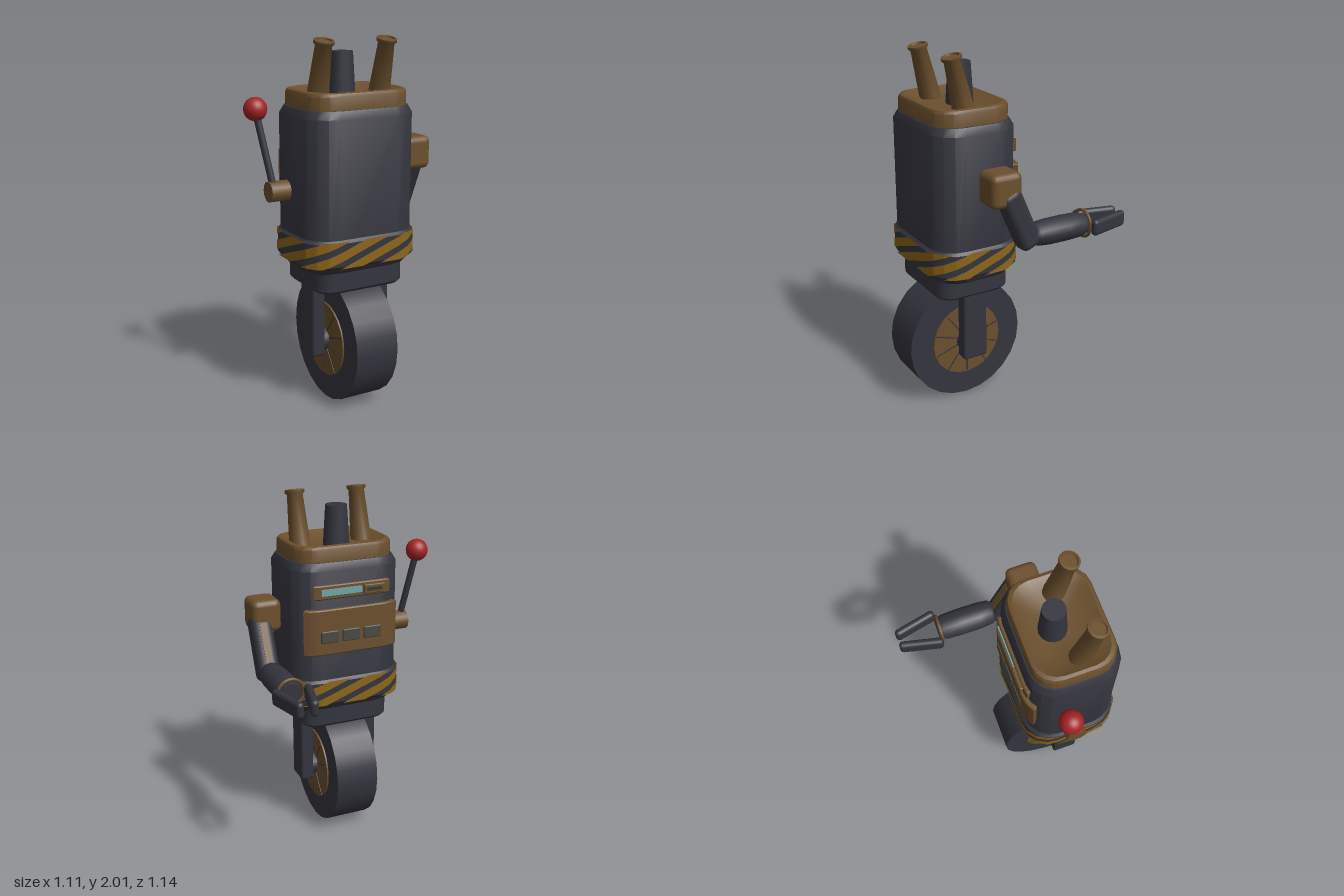
import * as THREE from 'three';
import { toCreasedNormals } from 'three/addons/utils/BufferGeometryUtils.js';
import { RoundedBoxGeometry } from 'three/addons/geometries/RoundedBoxGeometry.js';

const mat = (name, color, extra = {}) => {
  const m = new THREE.MeshStandardMaterial({ color, ...extra });
  m.name = name;
  return m;
};
const CX = -0.028, CZ = 0.22; // centre line of the body

// Rounded-rectangle ring in plan, four corners of five points
function ring(hw, hd, r) {
  const pts = [];
  [[1, 1], [-1, 1], [-1, -1], [1, -1]].forEach(([sx, sz], q) => {
    for (let k = 0; k <= 4; k++) {
      const a = (q + k / 4) * Math.PI / 2;
      pts.push(new THREE.Vector2(CX + sx * (hw - r) + r * Math.cos(a), CZ + sz * (hd - r) + r * Math.sin(a)));
    }
  });
  return pts;
}

// Skin over rings [y, halfWidth, halfDepth, cornerRadius], closed at both ends
function loft(sections, crease = 0.6) {
  const pos = [], idx = [], n = 20;
  sections.forEach(([y, hw, hd, r]) => ring(hw, hd, r).forEach(p => pos.push(p.x, y, p.y)));
  const last = (sections.length - 1) * n, c0 = sections.length * n, c1 = c0 + 1;
  pos.push(CX, sections[0][0], CZ, CX, sections[sections.length - 1][0], CZ);
  for (let j = 0; j < n; j++) {
    const k = (j + 1) % n;
    for (let i = 0; i < last; i += n) idx.push(i + j, i + n + j, i + k, i + k, i + n + j, i + n + k);
    idx.push(c0, j, k, c1, last + k, last + j);
  }
  const g = new THREE.BufferGeometry();
  g.setAttribute('position', new THREE.Float32BufferAttribute(pos, 3));
  g.setIndex(idx);
  return toCreasedNormals(g, crease);
}

// Slanted hazard stripes wrapped around the belt, clipped to its height
function stripes(y0, y1) {
  const outline = ring(0.347, 0.272, 0.17);
  outline.push(outline[0].clone());
  const shape = new THREE.Shape(outline);
  const N = 160, pts = shape.getSpacedPoints(N), len = shape.getLength();
  const count = 9, pitch = len / count, slope = 0.36, band = pitch * slope * 0.58;
  const pos = [];
  for (let s = 0; s < count + 3; s++) {
    for (let i = 0; i < N; i++) {
      const col = t => {
        const base = y0 + slope * (s * pitch - t * len / N);
        return [Math.min(y1, Math.max(y0, base)), Math.min(y1, Math.max(y0, base + band))];
      };
      const [a0, a1] = col(i), [b0, b1] = col(i + 1), p = pts[i], q = pts[i + 1];
      if (a1 - a0 + b1 - b0 < 1e-5) continue;
      pos.push(p.x, a0, p.y, p.x, a1, p.y, q.x, b0, q.y, q.x, b0, q.y, p.x, a1, p.y, q.x, b1, q.y);
    }
  }
  const g = new THREE.BufferGeometry();
  g.setAttribute('position', new THREE.Float32BufferAttribute(pos, 3));
  g.computeVertexNormals();
  return g;
}

// Plate that follows the rear face and wraps the corners by an angle
function wrapPlate(y0, y1, angle, out) {
  const arc = r => {
    const p = [];
    for (let k = 0; k <= 4; k++) {
      const a = angle * (1 - k / 4);
      p.push(new THREE.Vector2(-0.205 - r * Math.sin(a), r * Math.cos(a) - 0.12));
    }
    return p.concat(p.slice().reverse().map(v => new THREE.Vector2(2 * CX - v.x, v.y)));
  };
  const b = 0.006;
  const shape = new THREE.Shape(arc(0.15 + out - b).concat(arc(0.13).reverse()));
  const g = new THREE.ExtrudeGeometry(shape, { depth: y1 - y0 - 2 * b, bevelSize: b, bevelThickness: b, bevelSegments: 1 });
  return g.rotateX(-Math.PI / 2).translate(0, y0 + b, 0);
}

const lathe = (pts, sides) =>
  toCreasedNormals(new THREE.LatheGeometry(pts.map(p => new THREE.Vector2(...p)), sides), 0.9);

export function createModel() {
  const model = new THREE.Group();
  const dark = mat('charcoal metal', 0x34343e);
  const brown = mat('bronze', 0x6b4f2d);
  const yellow = mat('hazard yellow', 0x8c6519, { side: THREE.DoubleSide });
  const red = mat('red ball', 0xa32326);
  const cyan = mat('cyan display', 0x6fa5a8);
  const grey = mat('grey gauge', 0x4a4a42);

  const add = (name, g, m, x = 0, y = 0, z = 0) => {
    const mesh = new THREE.Mesh(g, m);
    mesh.name = name;
    mesh.position.set(x, y, z);
    model.add(mesh);
    return mesh;
  };
  const box = (name, m, x, y, z, w, h, d, r) =>
    add(name, r ? new RoundedBoxGeometry(w, h, d, 2, r) : new THREE.BoxGeometry(w, h, d), m, x, y, z);
  const axleDisc = (name, m, r, w, x, y, z, sides = 24) =>
    add(name, new THREE.CylinderGeometry(r, r, w, sides).rotateZ(Math.PI / 2), m, x, y, z);
  const rod = (name, m, a, b, r0, r1, sides = 10) => {
    const p = new THREE.Vector3(...a), q = new THREE.Vector3(...b), d = q.clone().sub(p);
    const mesh = add(name, new THREE.CylinderGeometry(r1, r0, d.length(), sides), m);
    mesh.position.copy(p).add(q).multiplyScalar(0.5);
    mesh.quaternion.setFromUnitVectors(new THREE.Vector3(0, 1, 0), d.normalize());
    return mesh;
  };

  // Body, dished lid, belt and skirt
  add('body', loft([[0.79, 0.295, 0.215, 0.13], [0.84, 0.327, 0.25, 0.15], [1.61, 0.327, 0.25, 0.15], [1.65, 0.305, 0.23, 0.14]]), dark);
  add('lid', loft([[1.64, 0.295, 0.225, 0.13], [1.72, 0.295, 0.225, 0.13], [1.735, 0.287, 0.217, 0.125],
    [1.74, 0.27, 0.2, 0.12], [1.7, 0.2, 0.13, 0.09]]), brown);
  add('belt', loft([[0.83, 0.325, 0.25, 0.15], [0.845, 0.342, 0.267, 0.165], [0.97, 0.342, 0.267, 0.165], [0.985, 0.327, 0.252, 0.15]]), dark);
  add('beltStripes', stripes(0.836, 0.98), yellow);
  add('skirt', loft([[0.68, 0.25, 0.205, 0.08], [0.695, 0.265, 0.218, 0.09], [0.8, 0.265, 0.218, 0.09]]), dark);

  // Stacks on the lid
  const stack = lathe([[0, 0], [0.06, 0], [0.044, 0.285], [0.055, 0.298], [0.055, 0.312], [0.043, 0.314], [0.04, 0.304], [0, 0.304]], 16);
  for (const s of [-1, 1]) {
    add('outerStack', stack, brown, CX + s * 0.187, 1.69, 0.25).rotation.x = 0.235;
  }
  rod('centreStack', dark, [CX, 1.69, 0.175], [CX, 1.925, 0.175], 0.076, 0.061, 14);

  // Wheel, hub and fork
  const wy = 0.352;
  axleDisc('tyre', dark, 0.351, 0.252, CX, wy, CZ);
  axleDisc('wheelDisc', brown, 0.212, 0.27, CX, wy, CZ);
  axleDisc('axle', dark, 0.066, 0.37, CX, wy, CZ, 12);
  for (const s of [-1, 1]) {
    box('forkLeg', dark, CX + s * 0.202, 0.5, CZ, 0.078, 0.44, 0.146, 0.015);
    for (let i = 0; i < 10; i++) {
      const a = i * Math.PI / 5;
      const spoke = box('spoke', dark, CX + s * 0.136, wy + 0.135 * Math.cos(a), CZ + 0.135 * Math.sin(a), 0.004, 0.14, 0.006);
      spoke.rotation.x = a;
    }
  }

  // Rear control panels
  add('lowerPanel', wrapPlate(1.14, 1.4, 0.6, 0.025), brown);
  add('upperPanel', wrapPlate(1.455, 1.535, 0.27, 0.018), brown);
  box('display', cyan, 0.035, 1.497, -0.051, 0.24, 0.036, 0.008);
  box('switchPlate', brown, -0.155, 1.495, -0.055, 0.125, 0.052, 0.024, 0.006);
  box('switchSlot', dark, -0.155, 1.495, -0.068, 0.09, 0.018, 0.005);
  for (const x of [0.11, -0.018, -0.146]) {
    box('gauge', grey, x, 1.245, -0.055, 0.105, 0.07, 0.016, 0.007);
  }

  // Lever on the right side
  axleDisc('leverMount', brown, 0.056, 0.115, -0.407, 1.21, 0.168, 12);
  rod('leverRod', dark, [-0.437, 1.24, 0.17], [-0.495, 1.62, 0.102], 0.019, 0.019);
  add('leverBall', new THREE.SphereGeometry(0.063, 20, 14), red, -0.497, 1.64, 0.098);

  // Left arm: shoulder, upper arm with strip, forearm, cuff and two fingers
  box('shoulder', brown, 0.413, 1.352, 0.187, 0.168, 0.185, 0.178, 0.035);
  const upper = box('upperArm', dark, 0.443, 1.18, 0.1, 0.122, 0.37, 0.125, 0.04);
  upper.rotation.x = 0.42;
  const strip = new THREE.Mesh(new THREE.BoxGeometry(0.04, 0.26, 0.008), brown);
  strip.name = 'armStrip';
  strip.position.z = -0.063;
  upper.add(strip);
  const forearm = lathe([[0, -0.01], [0.055, -0.005], [0.07, 0.015], [0.077, 0.08], [0.078, 0.2], [0.074, 0.29], [0.06, 0.335], [0, 0.335]], 12);
  add('forearm', forearm.rotateX(-Math.PI / 2), dark, 0.443, 1.068, 0.005).scale.y = 0.9;
  add('cuff', new THREE.TorusGeometry(0.074, 0.009, 8, 20), brown, 0.443, 1.07, -0.318);
  for (const s of [-1, 1]) {
    const finger = box('finger', dark, 0.443 + s * 0.064, 1.068, -0.443, 0.044, 0.09, 0.253, 0.021);
    finger.rotation.y = s * 0.23;
  }
  return model;
}
